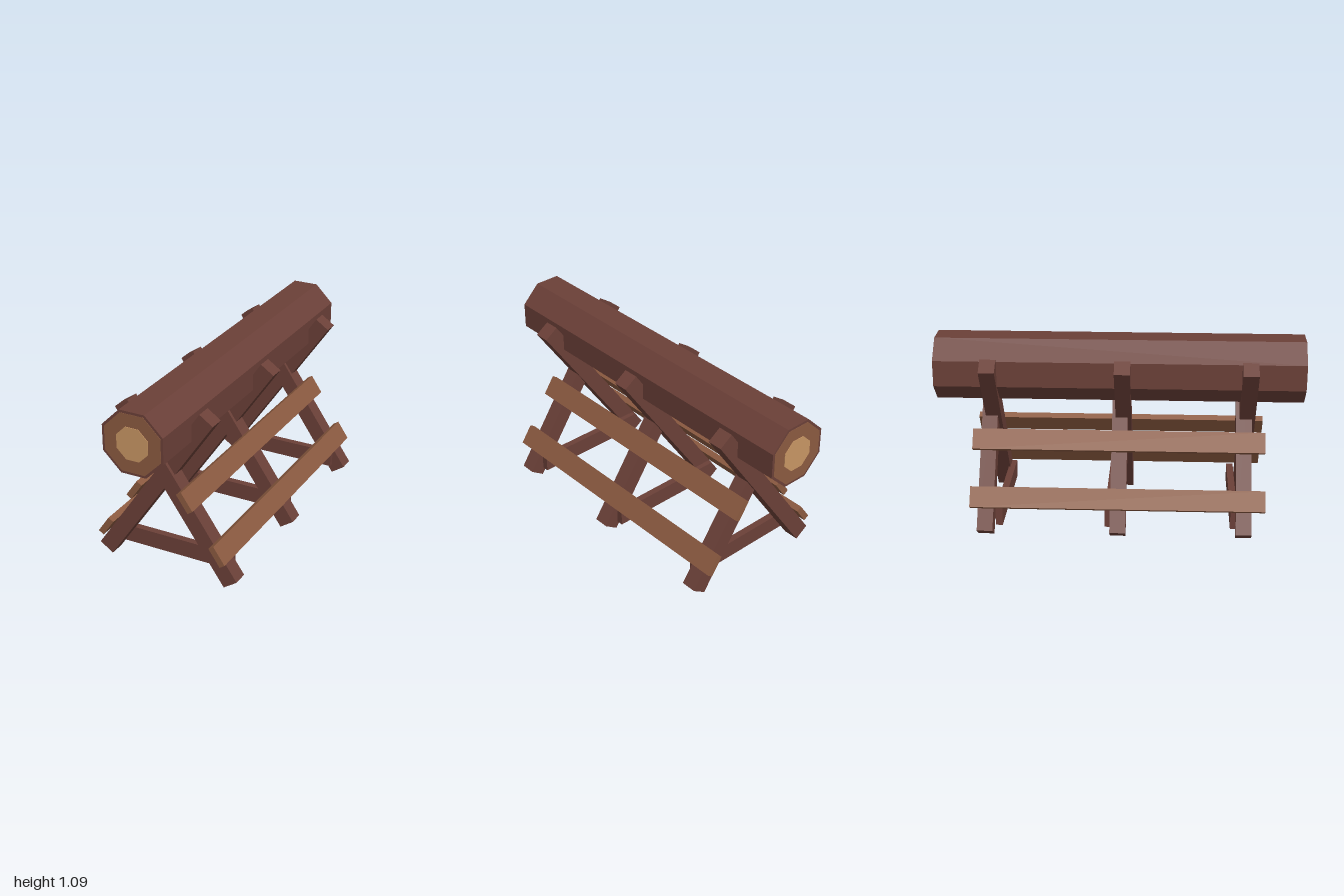
import * as THREE from 'three';

const flat = (name, color) => {
  const m = new THREE.MeshStandardMaterial({ color });
  m.name = name;
  return m;
};

export function createModel() {
  const bark = flat('bark brown', 0x6b4038);
  const plankWood = flat('plank brown', 0x8b5a40);
  const heartwood = flat('pale heartwood', 0xc89664);

  const model = new THREE.Group();
  model.name = 'logBarricade';
  // The whole barricade stands diagonally
  model.rotation.y = Math.PI / 6;

  const add = (parent, name, geometry, material, x, y, z) => {
    const mesh = new THREE.Mesh(geometry, material);
    mesh.name = name;
    mesh.position.set(x, y, z);
    parent.add(mesh);
    return mesh;
  };

  // Octagonal bar along x with flat sides up and down
  const octagon = (apothem, length) =>
    new THREE.CylinderGeometry(apothem / Math.cos(Math.PI / 8), apothem / Math.cos(Math.PI / 8),
      length, 8, 1, false, Math.PI / 8).toNonIndexed().rotateZ(Math.PI / 2);

  // Log with cut ends
  const log = new THREE.Group();
  log.name = 'log';
  log.position.set(0.01, 0.91, -0.017);
  model.add(log);
  const flatNormals = (g) => { g.computeVertexNormals(); return g; };
  add(log, 'logBark', flatNormals(octagon(0.18, 2.1)), bark, 0, 0, 0);
  for (const s of [-1, 1]) {
    add(log, 'cutEnd', flatNormals(octagon(0.166, 0.004)), plankWood, s * 1.05, 0, 0);
    add(log, 'heartwoodEnd', flatNormals(octagon(0.093, 0.004)), heartwood, s * 1.053, 0, 0);
  }

  // Slope of the crossed legs: foot far out, top past the middle
  const foot = { z: 0.4, y: 0.027 };
  const top = { z: -0.25, y: 0.975 };
  const rise = top.y - foot.y;
  const run = foot.z - top.z;
  const tilt = Math.atan2(run, rise);
  const legLength = Math.hypot(run, rise);
  const legDepth = 0.095;
  const plankThickness = 0.036;

  // Three X frames, each with a brace on one side
  for (const [x, braceSide] of [[-0.715, 1], [0, 1], [0.755, -1]]) {
    const frame = new THREE.Group();
    frame.name = 'crossFrame';
    frame.position.x = x;
    model.add(frame);
    for (const s of [-1, 1]) {
      const leg = add(frame, s > 0 ? 'frontLeg' : 'backLeg',
        new THREE.BoxGeometry(0.09, legLength, legDepth), bark,
        -s * 0.01, (foot.y + top.y) / 2, s * (foot.z + top.z) / 2);
      leg.rotation.x = -s * tilt;
    }
    add(frame, 'footBrace', new THREE.BoxGeometry(0.04, 0.1, 0.72), bark,
      braceSide * 0.065, 0.105, 0);
  }

  // Two planks lying on the outer face of the legs, front and back
  const offset = (legDepth + plankThickness) / 2;
  for (const s of [-1, 1]) {
    for (const y of [0.22, 0.5]) {
      const legY = y - offset * Math.sin(tilt);
      const z = foot.z - (legY - foot.y) * run / rise + offset * Math.cos(tilt);
      const plank = add(model, (s > 0 ? 'front' : 'back') + (y < 0.4 ? 'LowerPlank' : 'UpperPlank'),
        new THREE.BoxGeometry(1.68, 0.12, plankThickness), plankWood, 0.014, y, s * z);
      plank.rotation.x = -s * tilt;
    }
  }

  const root = new THREE.Group();
  root.name = 'barricade';
  root.add(model);
  return root;
}
